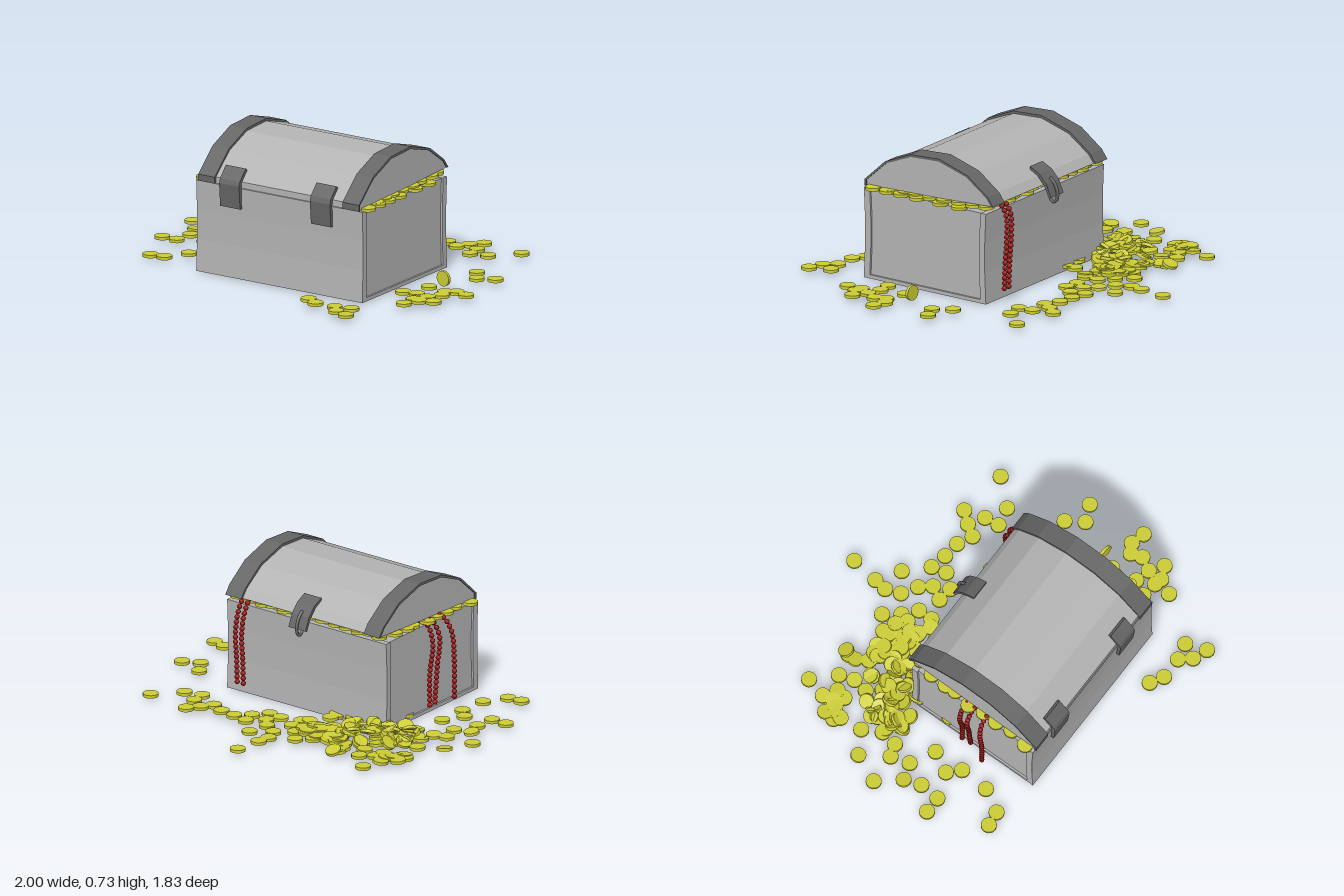
import * as THREE from 'three';

export function createModel() {
  const root = new THREE.Group();
  const mat = (name, color) => Object.assign(new THREE.MeshStandardMaterial({ color }), { name });
  const wood = mat('light grey', 0xb4b4b4);
  const iron = mat('dark grey', 0x666666);
  const gold = mat('gold', 0xcccc35);
  const red = mat('deep red', 0x991414);

  let seed = 7;
  const rnd = () => {
    seed = (seed * 16807) % 2147483647;
    return seed / 2147483647;
  };
  const spread = (s) => (rnd() + rnd() + rnd() - 1.5) * s;

  const add = (parent, name, geo, material) => {
    const m = new THREE.Mesh(geo, material);
    m.name = name;
    parent.add(m);
    return m;
  };
  const group = (name) => {
    const g = new THREE.Group();
    g.name = name;
    root.add(g);
    return g;
  };
  const box = (parent, name, material, x0, x1, y0, y1, z0, z1) =>
    add(parent, name, new THREE.BoxGeometry(x1 - x0, y1 - y0, z1 - z0), material)
      .position.set((x0 + x1) / 2, (y0 + y1) / 2, (z0 + z1) / 2);
  // Extrude a (z, y) outline along x
  const sideways = (pts, x0, x1) => {
    const g = new THREE.ExtrudeGeometry(new THREE.Shape(pts.map((p) => new THREE.Vector2(...p))),
      { depth: x1 - x0, bevelEnabled: false });
    return g.rotateY(-Math.PI / 2).translate(x1, 0, 0);
  };

  // Chest body: core with slightly bowed front and back boards standing proud of the sides
  const body = group('chestBody');
  box(body, 'core', wood, -0.472, 0.539, 0.005, 0.485, -0.175, 0.565);
  box(body, 'plinth', wood, -0.483, 0.55, 0, 0.02, -0.185, 0.583);
  const bow = [[0, 0], [0.17, 0.007], [0.33, 0.007], [0.488, 0]];
  const board = (name, zOut, zIn) => {
    const s = Math.sign(zIn - zOut);
    const outer = bow.map(([y, d]) => [zOut + s * d, y]);
    const inner = bow.map(([y, d]) => [zIn + s * d, y]).reverse();
    add(body, name, sideways([...outer, ...inner], -0.483, 0.55), wood);
  };
  board('frontBoard', 0.587, 0.55);
  board('backBoard', -0.19, -0.155);

  // Lid, hinged at the front and slightly open at the back
  const lid = group('lid');
  const arc = [[0.595, 0.49], [0.595, 0.525], [0.465, 0.645], [0.303, 0.714], [0.12, 0.724],
    [-0.06, 0.67], [-0.19, 0.576], [-0.225, 0.528]];
  const inset = arc.map(([z, y], i) => (i === 0 || i === 7)
    ? [0.2 + (z - 0.2) * 0.97, y] : [0.2 + (z - 0.2) * 0.97, 0.5 + (y - 0.5) * 0.94]);
  add(lid, 'lidPanel', sideways(inset, -0.46, 0.53), wood);
  const band = [...arc, ...inset.slice().reverse()];
  add(lid, 'leftLidBand', sideways(band, 0.432, 0.535), iron);
  add(lid, 'rightLidBand', sideways(band, -0.465, -0.363), iron);

  // Hinges on the front
  const hinge = [[0.586, 0.38], [0.602, 0.38], [0.612, 0.505], [0.603, 0.53], [0.55, 0.588],
    [0.535, 0.577], [0.588, 0.52], [0.59, 0.49]];
  [-0.262, 0.303].forEach((x) =>
    add(lid, 'hinge', sideways(hinge, x - 0.062, x + 0.062), iron));

  // Latch plate with a hook on the back
  const latch = [[-0.135, 0.617], [-0.195, 0.588], [-0.24, 0.54], [-0.27, 0.472], [-0.257, 0.466],
    [-0.226, 0.53], [-0.185, 0.575], [-0.135, 0.602]];
  add(lid, 'latchPlate', sideways(latch, -0.02, 0.09), iron);
  const hookPath = new THREE.CatmullRomCurve3([[-0.225, 0.56], [-0.255, 0.53], [-0.272, 0.48],
    [-0.262, 0.44], [-0.24, 0.432], [-0.225, 0.45]].map(([z, y]) => new THREE.Vector3(0.035, y, z)));
  add(lid, 'latchHook', new THREE.TubeGeometry(hookPath, 14, 0.009, 6), iron);

  // Coins
  const coinGeo = new THREE.CylinderGeometry(0.041, 0.041, 0.016, 18);
  const coin = (parent, x, y, z, rx = 0, rz = 0) => {
    const c = add(parent, 'coin', coinGeo, gold);
    c.position.set(x, y, z);
    c.rotation.set(rx, 0, rz);
  };

  // Coins lying around the chest, as x, z pairs in hundredths
  const loose = group('looseCoins');
  const spots = [
    -5, -88, -7, -73, -8, -66, 5, -65, -71, -68, -60, -57, -20, -59, -5, -58, 3, -53, 16, -54, 25, -52,
    34, -51, 42, -47, 46, -53, 51, -59, 54, -48, 55, -40, 65, -42, 77, -55, 77, -14, 83, -5, 92, -9,
    71, 21, 83, 24, 88, 21, 95.5, 23, 85, 30, 81, 37, 73, 35, 65, 36, 77, 44, 88, 42, 81, 45, 77, 53,
    32, 74, 39, 78, 51, 78, 60, 76, 56, 84, 64, 87, -96, -8, -80, -9, -77, 1, -83, 13, -93, 24, -84, 24,
    -70, 19, -64, 8, -64, 25, -65, 41, -80, 54, -72, 53, -81, -45, -27, -53, -14, -51, -7, -45, 8, -47,
    18, -46, -7, -37, 4, -40, 12, -39, -18, -40, -16, -24];
  for (let i = 0; i < spots.length; i += 2) coin(loose, spots[i] / 100, 0.021, spots[i + 1] / 100);
  coin(loose, -0.47, 0.035, -0.62, -0.4, 0);
  coin(loose, 0.75, 0.055, 0.135, Math.PI / 2, 0.12);

  // Heap of coins at the back right corner, with a tail along the back
  const heap = group('coinHeap');
  for (let i = 0; i < 85; i++) {
    const x = -0.53 + spread(0.3), z = -0.29 + spread(0.26);
    const top = Math.max(0, 0.055 * (1 - Math.hypot(x + 0.5, z + 0.26) / 0.24));
    const tilt = top > 0.01 ? 0.6 : 0.15;
    coin(heap, x, 0.023 + top * (0.3 + 0.7 * rnd()), z, spread(tilt), spread(tilt));
  }
  for (let i = 0; i < 26; i++) {
    coin(heap, -0.44 + rnd() * 0.34, 0.022 + rnd() * 0.014, -0.42 + spread(0.12), spread(0.2), spread(0.2));
  }

  // Coins filling the chest up to the lid
  const fill = group('chestCoins');
  for (let i = 0; i < 13; i++) {
    for (let j = 0; j < 9; j++) {
      const z = -0.165 + j * 0.085 + spread(0.02);
      coin(fill, -0.45 + i * 0.08 + spread(0.02), 0.492 + (0.55 - z) * 0.028, z, 0.04, spread(0.06));
    }
  }
  [-0.02, 0.1, 0.25, 0.35, 0.44, 0.53].forEach((z) => coin(fill, 0.548, 0.494, z));

  // Bead strings spilling over the rim, each through a few x, y, z points
  const beadGeo = new THREE.SphereGeometry(0.014, 8, 6);
  const strand = (pts) => {
    const g = group('beadString');
    const curve = new THREE.CatmullRomCurve3(pts.map((p) => new THREE.Vector3(...p)));
    const n = Math.round(curve.getLength() / 0.028);
    curve.getSpacedPoints(n).forEach((p) => add(g, 'bead', beadGeo, red).position.copy(p));
  };
  strand([[-0.44, 0.505, 0.15], [-0.49, 0.49, 0.15], [-0.525, 0.4, 0.15], [-0.505, 0.22, 0.15], [-0.505, 0.05, 0.15]]);
  strand([[-0.44, 0.505, 0.2], [-0.49, 0.49, 0.2], [-0.53, 0.42, 0.2], [-0.515, 0.25, 0.2], [-0.5, 0.05, 0.2]]);
  strand([[-0.44, 0.505, 0.28], [-0.5, 0.49, 0.28], [-0.54, 0.42, 0.29], [-0.545, 0.25, 0.305], [-0.545, 0.06, 0.305]]);
  [0.4, 0.44].forEach((x) => strand([[x, 0.525, -0.16], [x, 0.52, -0.2], [x, 0.46, -0.24],
    [x + 0.01, 0.34, -0.25], [x + 0.01, 0.2, -0.24], [x + 0.01, 0.07, -0.235]]));

  return root;
}
